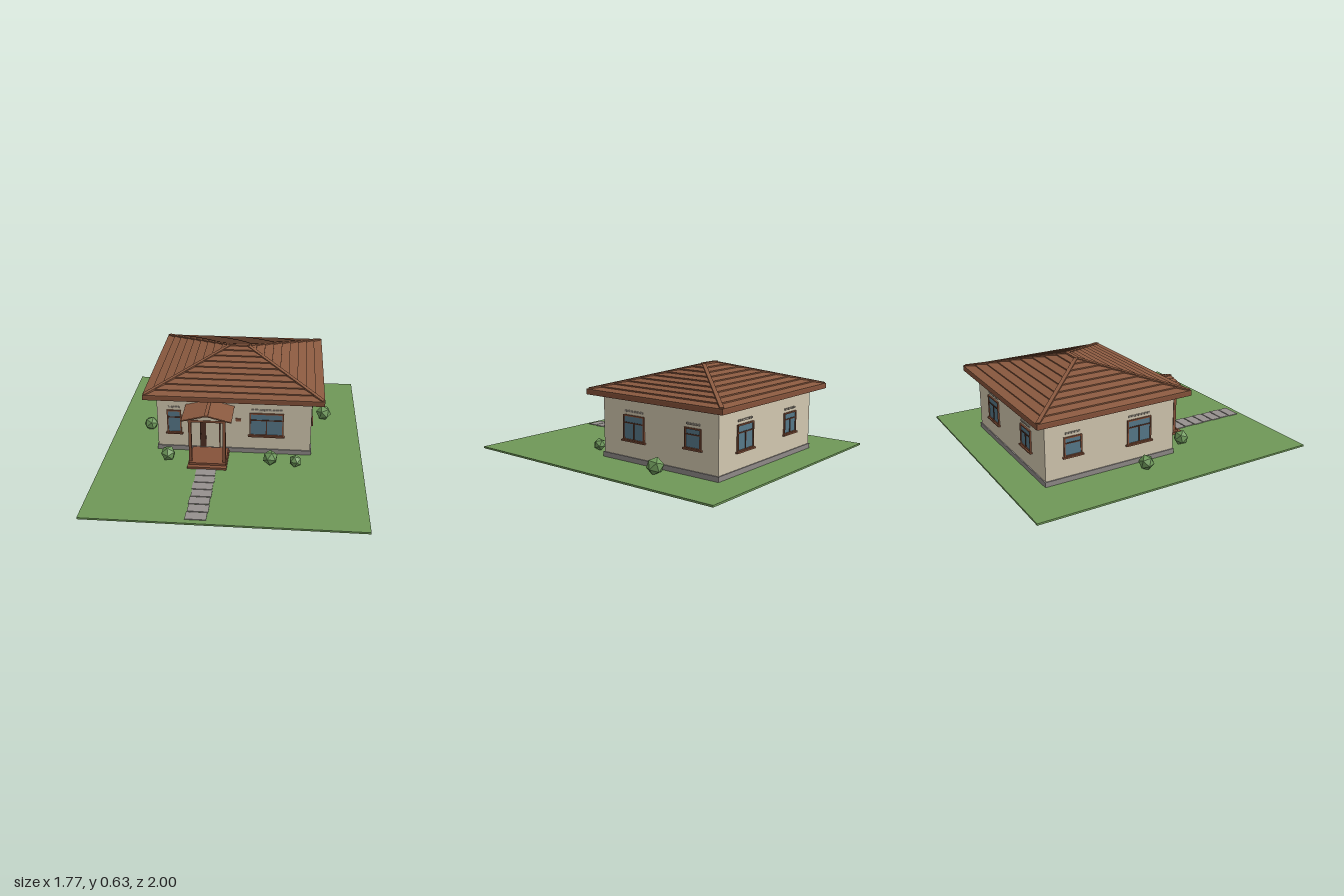
import * as THREE from 'three';

const mat = (name, color, extra = {}) =>
  Object.assign(new THREE.MeshStandardMaterial({ color, ...extra }), { name });

export function createModel() {
  const M = {
    grass: mat('grass', 0x6f9858),
    wall: mat('cream plaster', 0xd3c8b0),
    stone: mat('grey stone', 0x8f8a88),
    roof: mat('roof tile', 0x8b5a40, { flatShading: true }),
    wood: mat('brown wood', 0x86523a),
    dark: mat('dark wood', 0x4f3024),
    glass: mat('window glass', 0x57798a),
    brick: mat('lintel grey', 0xa39b8e),
    leaf: mat('bush green', 0x6f9a5c, { flatShading: true }),
    path: mat('paving', 0x96918e),
  };
  const model = new THREE.Group();
  model.name = 'house';

  // box given by its min and max on each axis
  const box = (parent, name, m, x0, x1, y0, y1, z0, z1) => {
    const b = new THREE.Mesh(new THREE.BoxGeometry(x1 - x0, y1 - y0, z1 - z0), m);
    b.position.set((x0 + x1) / 2, (y0 + y1) / 2, (z0 + z1) / 2);
    b.name = name;
    parent.add(b);
    return b;
  };
  // square bar between two points
  const bar = (parent, name, m, a, b, w, h) => {
    const r = new THREE.Mesh(new THREE.BoxGeometry(w, h, a.distanceTo(b)), m);
    r.position.copy(a).add(b).multiplyScalar(0.5);
    r.lookAt(b);
    r.name = name;
    parent.add(r);
  };

  // lawn and house body
  const CZ = -0.31, HX = 0.53, HZ = 0.465;
  box(model, 'lawn', M.grass, -0.885, 0.885, 0, 0.012, -1, 1);
  const house = new THREE.Group();
  house.name = 'houseBody';
  house.position.z = CZ;
  model.add(house);
  box(house, 'walls', M.wall, -HX, HX, 0.04, 0.44, -HZ, HZ);
  box(house, 'plinth', M.stone, -HX - 0.007, HX + 0.007, 0.012, 0.045, -HZ - 0.007, HZ + 0.007);

  // hipped roof: eave board, stepped tile courses, hip and ridge caps
  const EX = 0.61, EZ = 0.545, Y0 = 0.46, RISE = 0.162, N = 9, RISER = 0.008;
  box(house, 'eaveBoard', M.wood, -EX, EX, 0.432, Y0, -EZ, EZ);
  const ring = (k, y) => {
    const x = EX - EZ * k / N, z = Math.max(EZ - EZ * k / N, 0.001);
    return [[x, y, z], [x, y, -z], [-x, y, -z], [-x, y, z]];
  };
  const rings = [];
  for (let k = 0; k < N; k++) {
    const y = Y0 + RISE * k / N;
    rings.push(ring(k, y), ring(k, y + RISER), ring(k + 1, y + RISE / N));
  }
  const pts = [];
  for (let i = 0; i < rings.length - 1; i++) {
    if (i % 3 === 2) continue;
    for (let j = 0; j < 4; j++) {
      const a = rings[i][j], b = rings[i][(j + 1) % 4];
      const c = rings[i + 1][(j + 1) % 4], d = rings[i + 1][j];
      pts.push(...a, ...b, ...c, ...a, ...c, ...d);
    }
  }
  const last = rings[rings.length - 1], prev = rings[rings.length - 2];
  for (let j = 0; j < 4; j++) {
    const a = prev[j], b = prev[(j + 1) % 4], c = last[(j + 1) % 4], d = last[j];
    if (rings.length % 3 !== 0) pts.push(...a, ...b, ...c, ...a, ...c, ...d);
  }
  const tiles = new THREE.BufferGeometry();
  tiles.setAttribute('position', new THREE.Float32BufferAttribute(pts, 3));
  tiles.computeVertexNormals();
  const roof = new THREE.Mesh(tiles, M.roof);
  roof.name = 'roofTiles';
  house.add(roof);
  const RX = EX - EZ, top = Y0 + RISE;
  for (const sx of [-1, 1]) for (const sz of [-1, 1])
    bar(house, 'hipCap', M.roof, new THREE.Vector3(sx * (EX - 0.01), Y0 + 0.008, sz * (EZ - 0.01)),
      new THREE.Vector3(sx * RX, top, 0), 0.025, 0.014);
  box(house, 'ridgeCap', M.roof, -RX - 0.01, RX + 0.01, top - 0.01, top + 0.009, -0.013, 0.013);

  // windows: built facing +z, then turned onto a wall
  const windowUnit = (w, y0, y1, mullion) => {
    const g = new THREE.Group(), h = w / 2, f = 0.009, bar1 = y1 - (y1 - y0) * 0.3;
    g.name = 'window';
    box(g, 'pane', M.glass, -h, h, y0, y1, -0.002, 0.004);
    for (const s of [-1, 1])
      box(g, 'frameSide', M.wood, s * h - f / 2, s * h + f / 2, y0, y1, -0.002, 0.01);
    for (const y of [y0, y1]) box(g, 'frameRail', M.wood, -h - f / 2, h + f / 2, y - f / 2, y + f / 2, -0.002, 0.01);
    box(g, 'transom', M.dark, -h, h, bar1 - 0.004, bar1 + 0.004, -0.002, 0.008);
    if (mullion) box(g, 'mullion', M.dark, -0.004, 0.004, y0, bar1, -0.002, 0.008);
    box(g, 'sill', M.wood, -h - 0.014, h + 0.014, y0 - 0.012, y0 - 0.002, -0.002, 0.018);
    const n = Math.max(5, Math.round(w / 0.024)), p = (w - 0.01) / n;
    for (let i = 0; i < n; i++) {
      const x = -h + 0.005 + i * p;
      box(g, 'lintelBrick', M.brick, x + 0.002, x + p - 0.002, y1 + 0.022, y1 + 0.034, -0.002, 0.006);
    }
    return g;
  };
  const place = (side, u, ...args) => {
    const g = windowUnit(...args);
    if (side === 'front') g.position.set(u, 0, HZ);
    if (side === 'back') { g.position.set(u, 0, -HZ); g.rotation.y = Math.PI; }
    if (side === 'left') { g.position.set(HX, 0, u - CZ); g.rotation.y = Math.PI / 2; }
    if (side === 'right') { g.position.set(-HX, 0, u - CZ); g.rotation.y = -Math.PI / 2; }
    house.add(g);
  };
  place('front', -0.412, 0.09, 0.155, 0.32, false);
  place('front', 0.225, 0.225, 0.155, 0.32, true);
  for (const side of ['left', 'right']) {
    place(side, -0.112, 0.17, 0.16, 0.318, true);
    place(side, -0.588, 0.115, 0.185, 0.305, false);
  }
  place('back', 0.26, 0.165, 0.16, 0.318, true);
  place('back', -0.265, 0.14, 0.17, 0.305, true);

  // front door, lamp and wall plaque
  const W = CZ + HZ;
  const door = new THREE.Group();
  door.name = 'frontDoor';
  model.add(door);
  box(door, 'doorLeaf', M.wall, -0.227, -0.1, 0.045, 0.328, W, W + 0.004);
  box(door, 'doorPanel', M.dark, -0.227, -0.192, 0.045, 0.32, W, W + 0.008);
  for (const x of [-0.23, -0.097])
    box(door, 'doorJamb', M.dark, x - 0.004, x + 0.004, 0.045, 0.335, W, W + 0.01);
  box(door, 'doorHead', M.dark, -0.234, -0.093, 0.327, 0.335, W, W + 0.01);
  const lamp = new THREE.Group();
  lamp.name = 'wallLamp';
  model.add(lamp);
  box(lamp, 'lampPlate', M.dark, -0.073, -0.06, 0.265, 0.305, W, W + 0.006);
  for (const y of [0.268, 0.296]) box(lamp, 'lampArm', M.dark, -0.074, -0.058, y, y + 0.006, W, W + 0.024);
  box(lamp, 'lampShade', M.brick, -0.072, -0.06, 0.272, 0.297, W + 0.01, W + 0.022);
  box(model, 'wallPlaque', M.wood, 0.012, 0.05, 0.258, 0.278, W, W + 0.007);

  // porch: deck, step, posts, beams and gabled tile roof
  const porch = new THREE.Group();
  porch.name = 'porch';
  porch.position.x = -0.162;
  model.add(porch);
  box(porch, 'porchStep', M.wood, -0.132, 0.132, 0.012, 0.027, W, 0.403);
  box(porch, 'porchDeck', M.wood, -0.125, 0.125, 0.027, 0.042, W, 0.372);
  for (const s of [-1, 1]) {
    const x = s * 0.114;
    box(porch, 'porchPost', M.wood, x - 0.01, x + 0.01, 0.042, 0.345, 0.335, 0.355);
    box(porch, 'sideBeam', M.wood, x - 0.011, x + 0.011, 0.345, 0.364, W, 0.36);
    for (let i = 0; i < 4; i++) {
      const t = new THREE.Mesh(new THREE.BoxGeometry(0.048, 0.008, 0.385 - W), M.roof);
      t.position.set(s * (0.143 - i * 0.041), 0.371 + i * 0.0105, (W + 0.385) / 2);
      t.rotation.z = -s * 0.2;
      t.name = 'porchRoofTile';
      porch.add(t);
    }
  }
  box(porch, 'frontBeam', M.wood, -0.125, 0.125, 0.345, 0.36, 0.335, 0.357);
  box(porch, 'porchRidge', M.roof, -0.012, 0.012, 0.402, 0.414, W, 0.387);
  const gable = new THREE.Shape([[-0.13, 0.36], [0.13, 0.36], [0, 0.398]].map(p => new THREE.Vector2(...p)));
  const ped = new THREE.Mesh(new THREE.ExtrudeGeometry(gable, { depth: 0.008, bevelEnabled: false }), M.wall);
  ped.position.z = 0.345;
  ped.name = 'porchGable';
  porch.add(ped);

  // garden path
  for (let i = 0; i < 7; i++) {
    const z = 0.408 + i * 0.0806, j = (i % 2) * 0.004;
    box(model, 'pathSlab', M.path, -0.231 + j, -0.099 + j, 0.012, 0.017, z, z + 0.073);
  }

  // bushes: x, z, radius
  [[-0.635, -0.12, 0.052], [-0.44, 0.29, 0.053], [0.26, 0.29, 0.053],
    [0.43, 0.305, 0.044], [0.637, -0.38, 0.058]].forEach(([x, z, r], i) => {
    const bush = new THREE.Mesh(new THREE.IcosahedronGeometry(r, 0), M.leaf);
    bush.position.set(x, 0.01 + r * 0.9, z);
    bush.rotation.set(i * 0.7, i * 1.3 + 0.4, 0.2);
    bush.name = 'bush';
    model.add(bush);
  });

  return model;
}
